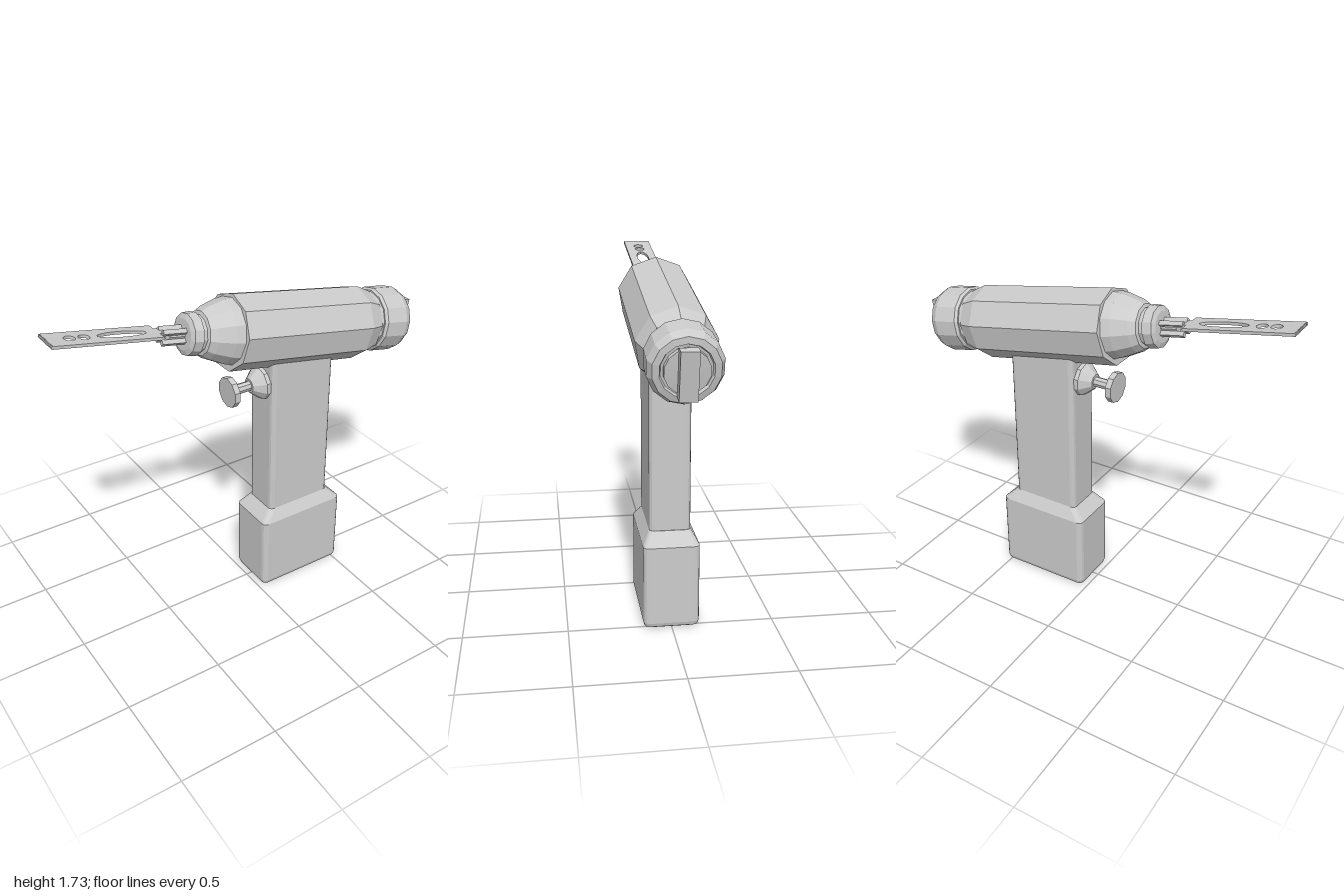
import * as THREE from 'three';

const flat = new THREE.MeshStandardMaterial({ color: 0xcccccc, flatShading: true, side: THREE.DoubleSide });

function add(parent, name, geometry, x = 0, y = 0, z = 0) {
  const mesh = new THREE.Mesh(geometry, flat);
  mesh.name = name;
  mesh.position.set(x, y, z);
  parent.add(mesh);
  return mesh;
}

// Faceted turned part along +x; profile is [position, radius] pairs, with a corner on top
function turned(profile, sides) {
  const pts = profile.map(([s, r]) => new THREE.Vector2(r, s));
  const geo = new THREE.LatheGeometry(pts, sides, -Math.PI / 2);
  geo.rotateZ(-Math.PI / 2);
  return geo;
}

// Rounded-rectangle loft; rings are [y, halfWidth, halfDepth, cornerRadius]
function loft(rings) {
  const pos = [], index = [], steps = 3, n = 4 * (steps + 1);
  for (const [y, w, d, r] of rings) {
    for (let c = 0; c < 4; c++) {
      const sx = c === 0 || c === 3 ? 1 : -1, sz = c < 2 ? 1 : -1;
      for (let k = 0; k <= steps; k++) {
        const a = (c + k / steps) * Math.PI / 2;
        pos.push(sx * (w - r) + r * Math.cos(a), y, sz * (d - r) + r * Math.sin(a));
      }
    }
  }
  for (let i = 0; i < rings.length - 1; i++) {
    for (let j = 0; j < n; j++) {
      const a = i * n + j, b = i * n + (j + 1) % n;
      index.push(a, a + n, b, b, a + n, b + n);
    }
  }
  const last = (rings.length - 1) * n;
  for (let j = 1; j < n - 1; j++) {
    index.push(0, j, j + 1, last, last + j + 1, last + j);
  }
  const geo = new THREE.BufferGeometry();
  geo.setAttribute('position', new THREE.Float32BufferAttribute(pos, 3));
  geo.setIndex(index);
  geo.computeVertexNormals();
  return geo;
}

// Flat saw blade with toothed tip, two round holes and a long slot
function bladeGeometry() {
  const shape = new THREE.Shape();
  const tip = -1.326, root = -0.796, half = 0.072, teeth = 14;
  shape.moveTo(tip, -half);
  shape.lineTo(root, -half);
  shape.lineTo(root, -0.03);
  shape.lineTo(-0.68, -0.03);
  shape.lineTo(-0.68, 0.03);
  shape.lineTo(root, 0.03);
  shape.lineTo(root, half);
  for (let i = 0; i < teeth; i++) {
    const z = half - (2 * half * i) / teeth;
    shape.lineTo(tip, z);
    shape.lineTo(tip + 0.008, z - half / teeth);
  }
  shape.closePath();
  for (const [x, rx, ry] of [[-1.216, 0.026, 0.026], [-1.149, 0.026, 0.026], [-0.969, 0.12, 0.031]]) {
    const hole = new THREE.Path();
    hole.absellipse(x, 0, rx, ry, 0, Math.PI * 2, true);
    shape.holes.push(hole);
  }
  const geo = new THREE.ExtrudeGeometry(shape, { depth: 0.014, bevelEnabled: false, curveSegments: 12 });
  geo.rotateX(-Math.PI / 2);
  return geo;
}

export function createModel() {
  const model = new THREE.Group();
  model.name = 'surgicalSaw';

  // Grip and battery pack
  add(model, 'handle', loft([[0.44, 0.185, 0.1, 0.025], [1.42, 0.185, 0.1, 0.025]]), 0.273);
  add(model, 'battery', loft([
    [0, 0.235, 0.12, 0.02],
    [0.007, 0.246, 0.13, 0.025],
    [0.025, 0.251, 0.136, 0.028],
    [0.415, 0.251, 0.136, 0.028],
    [0.477, 0.185, 0.1, 0.025],
  ]), 0.276);

  // Trigger: collar, stem and button
  const trigger = new THREE.Group();
  trigger.name = 'trigger';
  trigger.position.set(0, 1.208, 0);
  model.add(trigger);
  add(trigger, 'triggerCollar', turned([[0.013, 0], [0.013, 0.038], [0.068, 0.085], [0.11, 0.088], [0.11, 0]], 10));
  add(trigger, 'triggerStem', turned([[-0.09, 0.026], [0.03, 0.026]], 8));
  add(trigger, 'triggerButton', turned([[-0.115, 0], [-0.115, 0.078], [-0.085, 0.078], [-0.085, 0]], 10));

  // Tilted motor unit; its own x axis runs from the blade to the rear cap
  const head = new THREE.Group();
  head.name = 'head';
  head.position.set(0.3, 1.465, 0);
  head.rotation.z = -0.1815;
  model.add(head);

  add(head, 'motorHousing', turned([
    [-0.417, 0], [-0.417, 0.188], [0.342, 0.188], [0.427, 0.158], [0.427, 0],
  ], 9), 0, -0.006);

  // Stepped nose
  add(head, 'nose', turned([
    [-0.43, 0], [-0.66, 0], [-0.66, 0.075], [-0.65, 0.1], [-0.605, 0.104], [-0.6, 0.09],
    [-0.58, 0.09], [-0.575, 0.107], [-0.54, 0.127], [-0.46, 0.155], [-0.41, 0.165],
  ].slice(1), 12));

  // Chuck jaws around the blade tang
  for (let i = 0; i < 4; i++) {
    const a = Math.PI / 4 + (i * Math.PI) / 2;
    const jaw = add(head, 'chuckJaw', new THREE.BoxGeometry(0.13, 0.022, 0.022),
      -0.715, 0.034 * Math.sin(a), 0.034 * Math.cos(a));
    jaw.rotation.x = -a;
  }
  add(head, 'chuckCore', turned([[-0.74, 0], [-0.74, 0.025], [-0.65, 0.025]], 8));
  add(head, 'blade', bladeGeometry(), 0, 0.011, -0.003);

  // Rear cap with turning grip
  add(head, 'capNeck', turned([[0.42, 0.148], [0.46, 0.148]], 14));
  add(head, 'rearCap', turned([
    [0.445, 0], [0.445, 0.155], [0.458, 0.166], [0.585, 0.168], [0.625, 0.148],
    [0.63, 0.118], [0.615, 0.112], [0.615, 0],
  ], 14));
  add(head, 'capDial', turned([[0.61, 0.1], [0.64, 0.1], [0.645, 0]], 14));
  const grip = new THREE.Shape([
    [0.6, -0.09], [0.645, -0.112], [0.692, -0.112], [0.692, 0.108], [0.645, 0.108], [0.6, 0.09],
  ].map(([x, y]) => new THREE.Vector2(x, y)));
  add(head, 'capGrip', new THREE.ExtrudeGeometry(grip, { depth: 0.08, bevelEnabled: false }), 0, 0, -0.04);

  return model;
}
